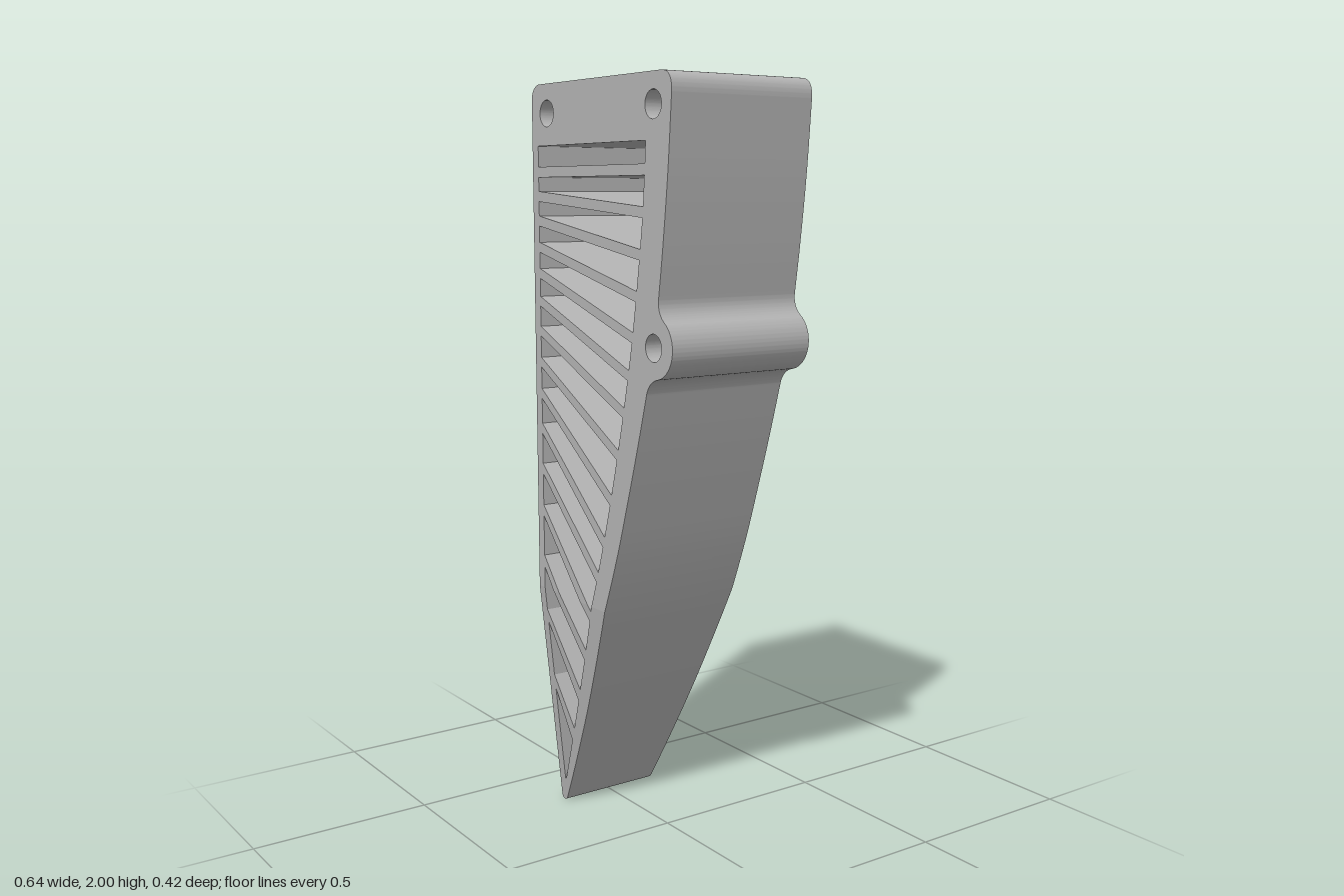
import * as THREE from 'three';
import { toCreasedNormals } from 'three/addons/utils/BufferGeometryUtils.js';

const HALF = 0.21;       // half depth of the upper part
const TIP_HALF = 0.145;  // half depth at the tip
const BEND = 0.645;      // height below which the depth tapers
const LEFT = -0.293;     // inner face of the straight wall

// inner edge of the curved wall, as [y, x]
const inner = [
  [1.84, 0.209], [1.776, 0.205], [1.676, 0.197], [1.575, 0.183], [1.474, 0.167], [1.373, 0.15],
  [1.278, 0.13], [1.182, 0.108], [1.071, 0.08], [0.949, 0.047], [0.832, 0.012], [0.732, -0.02],
  [0.615, -0.062], [0.493, -0.11], [0.361, -0.164], [0.228, -0.22], [0.07, -0.293],
];
// heights of each slat at the straight wall and at the curved wall
const slats = [
  [1.776, 1.776], [1.713, 1.676], [1.649, 1.575], [1.58, 1.474], [1.511, 1.373],
  [1.437, 1.278], [1.357, 1.182], [1.273, 1.071], [1.188, 0.949], [1.092, 0.832],
  [0.981, 0.732], [0.864, 0.615], [0.721, 0.493], [0.562, 0.361], [0.366, 0.228],
];

function innerX(y) {
  let i = 0;
  while (i < inner.length - 2 && inner[i + 1][0] > y) i++;
  const [y0, x0] = inner[i], [y1, x1] = inner[i + 1];
  return x0 + (x1 - x0) * (y - y0) / (y1 - y0);
}

function outline() {
  const s = new THREE.Shape();
  const v = (x, y) => new THREE.Vector2(x, y);
  s.moveTo(-0.31, 0);
  s.quadraticCurveTo(-0.299, 0, -0.292, 0.012);
  // lower curved wall, then the lug with its fillets
  s.splineThru([v(-0.205, 0.175), v(-0.11, 0.365), v(-0.005, 0.6), v(0.07, 0.79),
    v(0.125, 0.955), v(0.172, 1.105), v(0.21, 1.235)]);
  s.quadraticCurveTo(0.22, 1.272, 0.258, 1.2795);
  s.absarc(0.243, 1.355, 0.077, -1.37, 0.87, false);
  s.quadraticCurveTo(0.257, 1.437, 0.263, 1.475);
  // upper wall and rounded top corners
  s.splineThru([v(0.281, 1.6), v(0.301, 1.77), v(0.316, 1.95)]);
  s.quadraticCurveTo(0.318, 2, 0.272, 2);
  s.lineTo(-0.285, 2);
  s.absarc(-0.284, 1.962, 0.038, Math.PI / 2, Math.PI, false);
  s.lineTo(-0.322, 0.012);
  s.quadraticCurveTo(-0.322, 0, -0.31, 0);

  // bolt holes
  for (const [x, y] of [[-0.247, 1.925], [0.241, 1.925], [0.241, 1.355]]) {
    s.holes.push(new THREE.Path().absarc(x, y, 0.034, 0, Math.PI * 2, true));
  }
  // openings between neighbouring slats
  const half = (i) => {
    const [l, r] = slats[i];
    const thick = 0.027 - 0.008 * i / (slats.length - 1);
    return thick / 2 * Math.hypot(1, (l - r) / (innerX(r) - LEFT));
  };
  for (let i = 0; i <= slats.length; i++) {
    const first = i === 0, last = i === slats.length;
    const top = first ? [1.843, 1.843] : slats[i - 1].map((y) => y - half(i - 1));
    const low = last ? [0.07, 0.07] : slats[i].map((y) => y + half(i));
    const pts = [v(LEFT, top[0]), v(innerX(top[1]), top[1])];
    if (last) pts.push(v(LEFT + 0.004, low[1]));
    else pts.push(v(innerX(low[1]), low[1]));
    pts.push(v(LEFT, low[0]));
    s.holes.push(new THREE.Path(pts));
  }
  return s;
}

// cuts every triangle that crosses height h, so the body can bend there
function splitAt(geometry, h) {
  const src = geometry.index ? geometry.toNonIndexed() : geometry;
  const pos = src.attributes.position;
  const out = [];
  for (let i = 0; i < pos.count; i += 3) {
    const tri = [0, 1, 2].map((k) => new THREE.Vector3().fromBufferAttribute(pos, i + k));
    for (const side of [1, -1]) {
      const poly = [];
      tri.forEach((a, k) => {
        const b = tri[(k + 1) % 3];
        const da = (a.y - h) * side, db = (b.y - h) * side;
        if (da >= 0) poly.push(a);
        if (da * db < 0) poly.push(a.clone().lerp(b, da / (da - db)));
      });
      for (let k = 1; k < poly.length - 1; k++) {
        for (const p of [poly[0], poly[k], poly[k + 1]]) out.push(p.x, p.y, p.z);
      }
    }
  }
  const g = new THREE.BufferGeometry();
  g.setAttribute('position', new THREE.Float32BufferAttribute(out, 3));
  return g;
}

export function createModel() {
  const grey = new THREE.MeshStandardMaterial({ color: 0xb3b3b3 });
  grey.name = 'grey';

  const block = new THREE.ExtrudeGeometry(outline(), {
    depth: HALF * 2, bevelEnabled: false, curveSegments: 40,
  });
  block.translate(0, 0, -HALF);
  const body = splitAt(block, BEND);

  // taper the depth towards the tip
  const p = body.attributes.position;
  for (let i = 0; i < p.count; i++) {
    const t = Math.min(1, Math.max(0, p.getY(i) / BEND));
    p.setZ(i, Math.sign(p.getZ(i)) * (TIP_HALF + (HALF - TIP_HALF) * t));
  }

  const mesh = new THREE.Mesh(toCreasedNormals(body, 0.09), grey);
  mesh.name = 'slattedBracket';
  const group = new THREE.Group();
  group.name = 'bracket';
  group.add(mesh);
  return group;
}
